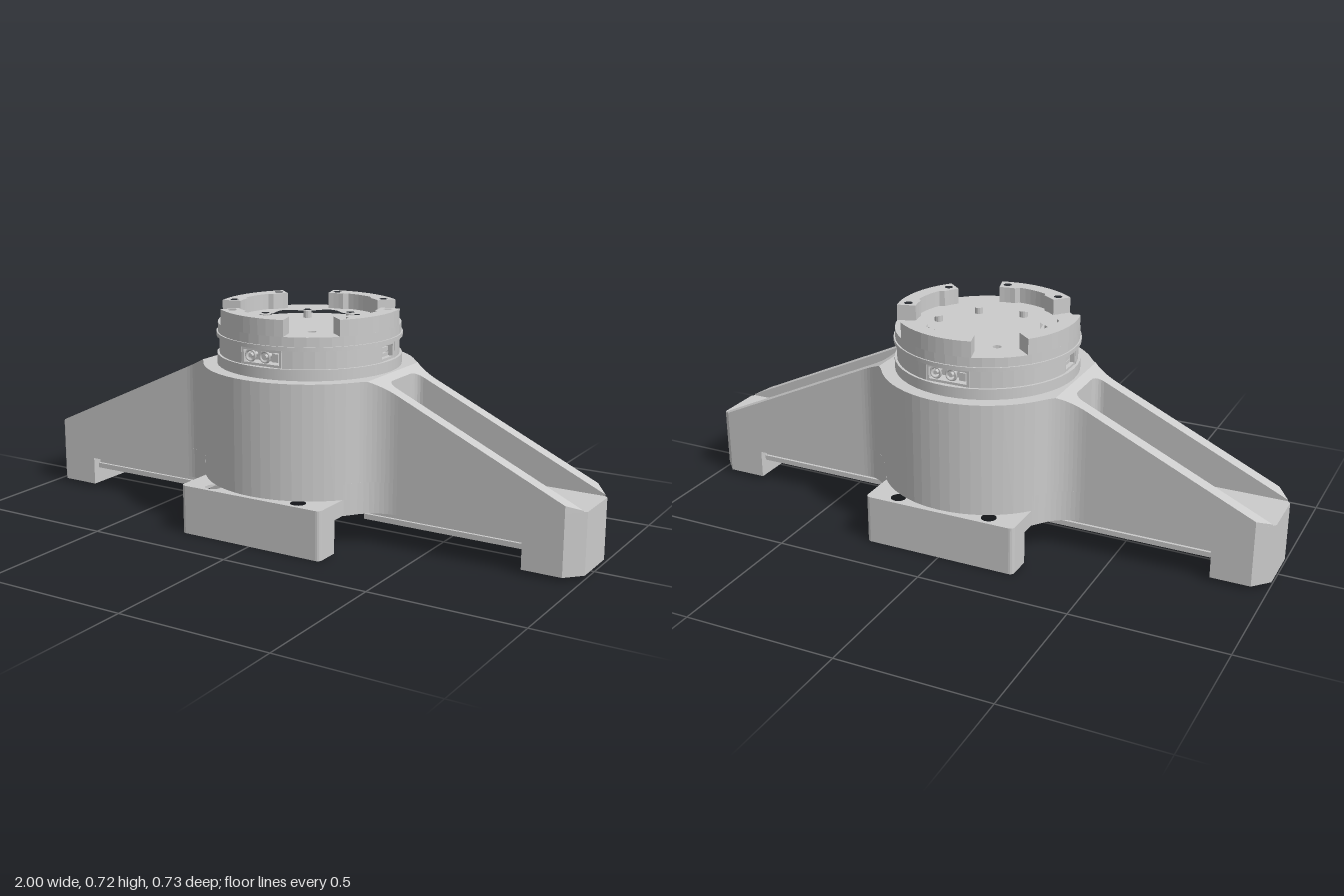
import * as THREE from 'three';

const V = (x, z) => new THREE.Vector2(x, -z); // plan point: x right, z towards the front
const rad = THREE.MathUtils.degToRad;

export function createModel() {
  const model = new THREE.Group();
  const mat = new THREE.MeshStandardMaterial({ color: 0xcccccc });

  const add = (name, geo, parent = model) => {
    const m = new THREE.Mesh(geo, mat);
    m.name = name;
    parent.add(m);
    return m;
  };
  const box = (name, x0, x1, y0, y1, z0, z1, parent) =>
    add(name, new THREE.BoxGeometry(x1 - x0, y1 - y0, z1 - z0)
      .translate((x0 + x1) / 2, (y0 + y1) / 2, (z0 + z1) / 2), parent);

  // Plan outlines
  const arc = (r, a0, a1, n, cx = 0, cz = 0) => Array.from({ length: n + 1 }, (_, i) => {
    const a = a0 + (a1 - a0) * i / n;
    return V(cx + r * Math.cos(a), cz + r * Math.sin(a));
  });
  const circle = (r, cx = 0, cz = 0, n = 20) => arc(r, 0, 2 * Math.PI, n, cx, cz).slice(0, n);
  const slab = (pts, y0, y1, holes = []) => {
    const shape = new THREE.Shape(pts);
    holes.forEach(h => shape.holes.push(new THREE.Path(h)));
    return new THREE.ExtrudeGeometry(shape, { depth: y1 - y0, bevelEnabled: false })
      .rotateX(-Math.PI / 2).translate(0, y0, 0);
  };
  const mirrorZ = pts => pts.map(p => new THREE.Vector2(p.x, -p.y)).reverse();
  const polar = (r, deg) => [r * Math.cos(rad(deg)), r * Math.sin(rad(deg))];

  // Half width of the body: round barrel, concave fillet, straight arm
  const R = 0.345, W = 0.133, F = 0.138, FX = 0.4, TX = 0.286;
  const edge = x => x < TX ? Math.sqrt(R * R - x * x)
    : x < FX ? W + F - Math.sqrt(F * F - (FX - x) ** 2) : W;
  const edgePts = (x0, x1, n) => Array.from({ length: n + 1 }, (_, i) => {
    const x = x0 + (x1 - x0) * i / n;
    return V(x, edge(x));
  });

  // Central barrel, cut flat where the arms start
  const XA = 0.31;
  const a0 = Math.acos(TX / R);
  const front = [...edgePts(TX, XA, 3).reverse(), ...arc(R, a0, Math.PI - a0, 20).slice(1, -1),
    ...edgePts(TX, XA, 3).map(p => new THREE.Vector2(-p.x, p.y))];
  add('bodyBarrel', slab([...front, ...mirrorZ(front)], 0.16, 0.53));

  // Arms: solid lower beam, sloping side walls around a channel, foot and rails
  const slope = x => Math.min(0.53, 0.53 - (x - XA) * 0.32 / 0.69);
  for (const s of [0, 1]) {
    const arm = new THREE.Group();
    arm.name = s ? 'rightArm' : 'leftArm';
    arm.rotation.y = s * Math.PI;
    model.add(arm);

    const side = [...edgePts(0.262, FX, 10), V(0.95, W), V(1, 0.08)];
    add('armBeam', slab([...side, ...mirrorZ(side)], 0.108, 0.21,
      [0.37, 0.577, 0.787].map(x => circle(0.02, x, 0))), arm);

    const wall = [...edgePts(XA, FX, 7), V(0.95, W), V(0.9905, 0.09),
      ...arc(0.03, Math.PI / 2, Math.PI, 5, 0.37, 0.06)];
    const walls = slab([...wall, ...mirrorZ(wall)], 0.21, 0.53);
    const p = walls.attributes.position;
    for (let i = 0; i < p.count; i++) {
      if (p.getY(i) > 0.4) p.setY(i, slope(p.getX(i)));
    }
    walls.computeVertexNormals();
    add('armWalls', walls, arm);

    const foot = [V(0.82, W), V(0.95, W), V(1, 0.08)];
    add('armFoot', slab([...foot, ...mirrorZ(foot)], 0.013, 0.108), arm);

    for (const k of [-1, 1]) {
      const z = 0.085 * k;
      box('railWeb', 0.27, 0.82, 0.085, 0.108, z - 0.015, z + 0.015, arm);
      box('railLip', 0.27, 0.82, 0.068, 0.085, z - 0.024, z + 0.024, arm);
    }
  }

  // Base plate with corner holes and an open centre
  const B = 0.26, D = 0.363, c = 0.015;
  const plate = [...arc(c, 0, Math.PI / 2, 4, B - c, D - c),
    ...arc(c, Math.PI / 2, Math.PI, 4, c - B, D - c)];
  const corner = [-0.16, 0.16].flatMap(x => [-0.325, 0.325].map(z => circle(0.025, x, z)));
  const bolts = [-0.2, 0.2].flatMap(x => [-0.16, 0.16].map(z => circle(0.013, x, z, 12)));
  add('basePlate', slab([...plate, ...mirrorZ(plate)], 0.108, 0.16,
    [...corner, ...bolts, circle(0.165, 0, 0, 40)]));

  // Hub below the barrel: flange with bolt holes and windows
  const hubHoles = [circle(0.035)];
  for (let i = 0; i < 4; i++) {
    const a = rad(90 * i + 20);
    hubHoles.push([...arc(0.1, a, a + rad(50), 8), ...arc(0.055, a + rad(50), a, 8)]);
  }
  for (let i = 0; i < 8; i++) hubHoles.push(circle(0.011, ...polar(0.13, 45 * i), 10));
  add('hubFlange', slab(circle(0.155, 0, 0, 40), 0.118, 0.14, hubHoles));
  add('hubCore', new THREE.CylinderGeometry(0.12, 0.12, 0.012, 40).translate(0, 0.156, 0));

  // Base legs, recessed on the inside
  for (const s of [0, 1]) {
    const leg = new THREE.Group();
    leg.name = s ? 'backLeg' : 'frontLeg';
    leg.rotation.y = s * Math.PI;
    model.add(leg);
    add('legBlock', slab([...plate, V(-B, 0.275), V(-0.24, 0.275), V(-0.24, 0.297),
      V(0.24, 0.297), V(0.24, 0.275), V(B, 0.275)], 0, 0.108,
      [-0.16, 0.16].map(x => circle(0.025, x, 0.325))), leg);
    box('legLip', -0.24, 0.24, 0, 0.018, 0.275, 0.297, leg);
    const strip = new THREE.Shape([[-0.24, 0.018], [0.24, 0.018], [0.24, 0.108], [-0.24, 0.108]]
      .map(q => new THREE.Vector2(...q)));
    for (const x of [-0.18, -0.06, 0.06, 0.18]) {
      strip.holes.push(new THREE.Path().absarc(x, 0.063, 0.013, 0, Math.PI * 2));
    }
    add('legStrip', new THREE.ExtrudeGeometry(strip,
      { depth: 0.007, bevelEnabled: false, curveSegments: 6 }).translate(0, 0, 0.29), leg);
  }

  // Turret: collar, socket band with four notches, seam ring
  const ring = (name, r, y0, y1) =>
    add(name, new THREE.CylinderGeometry(r, r, y1 - y0, 48).translate(0, (y0 + y1) / 2, 0));
  ring('turretCollar', 0.3, 0.53, 0.565).material = mat;
  const rb = 0.292, band = [];
  [0.043, 0.075, 0.043, 0.075].forEach((w, i, ws) => {
    const t = i * Math.PI / 2, next = ws[(i + 1) % 4];
    const turn = (u, v) => V(u * Math.cos(t) - v * Math.sin(t), u * Math.sin(t) + v * Math.cos(t));
    band.push(turn(0.24, -w), turn(0.24, w),
      ...arc(rb, t + Math.asin(w / rb), t + Math.PI / 2 - Math.asin(next / rb), 10));
  });
  add('socketBand', slab(band, 0.565, 0.622));
  ring('seamRing', 0.302, 0.622, 0.635);

  // Sockets in the notches
  for (let i = 0; i < 4; i++) {
    const socket = new THREE.Group();
    const wide = i % 2 === 0;
    socket.name = wide ? 'powerSocket' : 'dataSocket';
    socket.rotation.y = i * Math.PI / 2;
    model.add(socket);
    const w = wide ? 0.073 : 0.042, zf = wide ? 0.283 : 0.288;
    box('socketTop', -w, w, 0.612, 0.622, 0.24, zf, socket);
    box('socketBottom', -w, w, 0.565, 0.573, 0.24, zf, socket);
    for (const k of [-1, 1]) {
      const x = k * (w - 0.004);
      box('socketSide', x - 0.004, x + 0.004, 0.573, 0.612, 0.24, zf, socket);
    }
    if (wide) {
      for (const x of [-0.045, 0.008]) {
        add('socketPin', new THREE.CylinderGeometry(0.007, 0.007, 0.035, 12)
          .rotateX(Math.PI / 2).translate(x, 0.593, 0.26), socket);
        add('socketSleeve', new THREE.TorusGeometry(0.017, 0.004, 6, 20)
          .translate(x, 0.593, 0.274), socket);
      }
      box('socketKey', 0.036, 0.058, 0.58, 0.606, 0.24, 0.276, socket);
    } else {
      box('socketTongue', -0.018, 0.018, 0.592, 0.606, 0.24, 0.28, socket);
      box('socketShelf', -0.027, 0.027, 0.575, 0.586, 0.24, 0.276, socket);
    }
  }

  // Turret head with a lobed pocket and bolt holes
  const lobed = Array.from({ length: 96 }, (_, i) => {
    const a = i * Math.PI / 48, k = Math.cos(8 * (a - rad(11)));
    return V((0.188 - 0.017 * k) * Math.cos(a), (0.188 - 0.017 * k) * Math.sin(a));
  });
  const headHoles = [];
  for (let i = 0; i < 8; i++) headHoles.push(circle(0.014, ...polar(0.2, 11 + 45 * i), 14));
  add('turretHead', slab(circle(0.297, 0, 0, 48), 0.635, 0.665, [lobed, ...headHoles]));
  ring('pocketFloor', 0.22, 0.62, 0.638);

  // Four raised arc blocks
  for (let i = 0; i < 4; i++) {
    const mid = 12 + 90 * i, b0 = rad(mid - 28), b1 = rad(mid + 28);
    const holes = [-23, 23].map(d => circle(0.014, ...polar(0.265, mid + d), 14));
    add('arcBlock', slab([...arc(0.297, b0, b1, 10),
      ...arc(0.235, b1, b1 - rad(13), 3), ...arc(0.248, b1 - rad(16), b0 + rad(16), 5),
      ...arc(0.235, b0 + rad(13), b0, 3)], 0.665, 0.717, holes));
  }
  return model;
}
